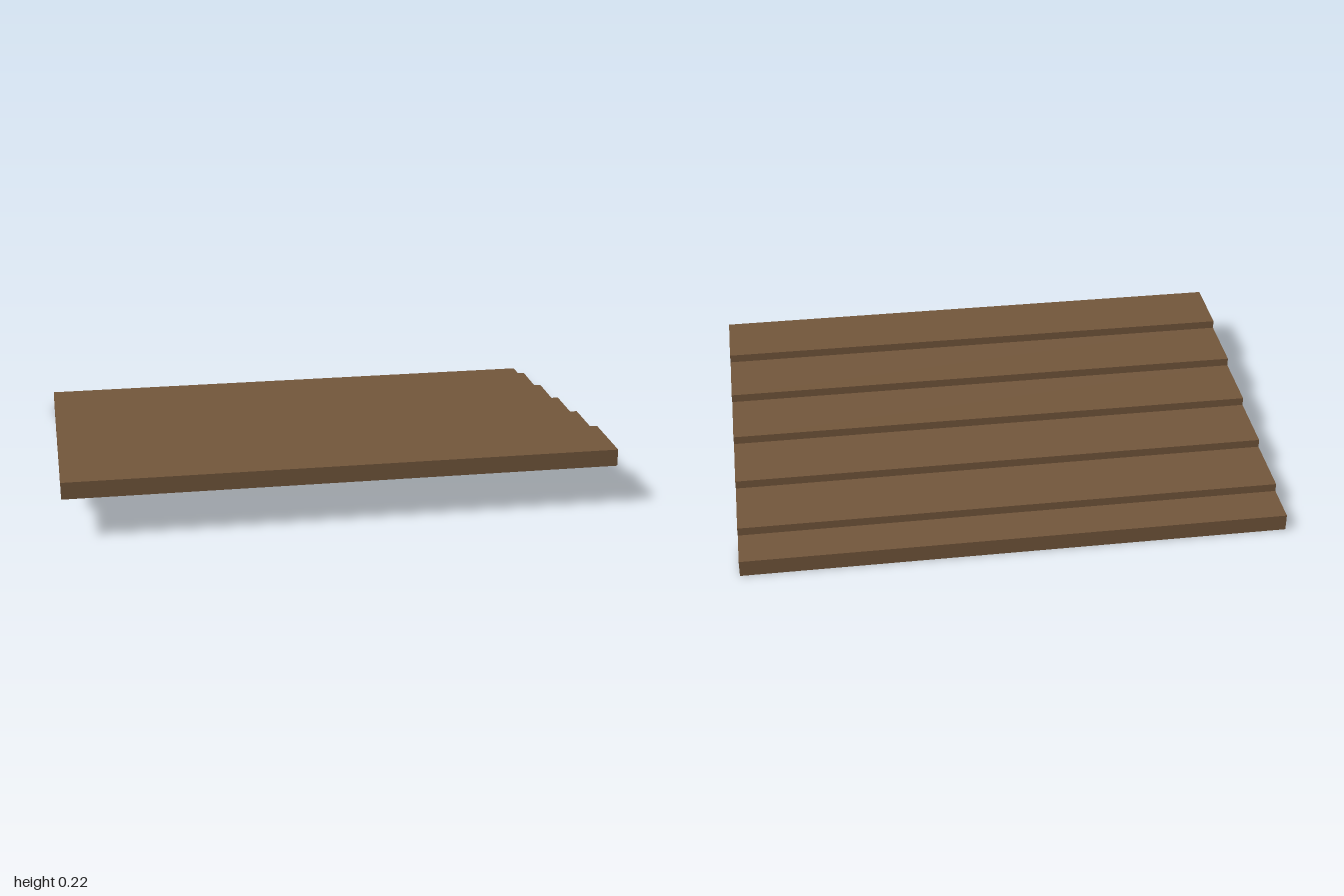
import * as THREE from 'three';

export function createModel() {
  const group = new THREE.Group();
  group.name = 'steppedPlanks';
  const wood = new THREE.MeshStandardMaterial({ color: 0x72563b });
  wood.name = 'brown wood';

  const thickness = 0.0625;
  const rise = thickness / 2;
  const pitch = 0.25;
  const half = 0.703125;
  const count = 6;

  // planks stepping down from front to back, the rearmost one narrower
  for (let i = 0; i < count; i++) {
    const front = half - i * pitch;
    const back = Math.max(front - pitch, -half);
    const plank = new THREE.Mesh(new THREE.BoxGeometry(2, thickness, front - back), wood);
    plank.name = `plank${i + 1}`;
    plank.position.set(0, (count - 1 - i) * rise + thickness / 2, (front + back) / 2);
    group.add(plank);
  }
  return group;
}
